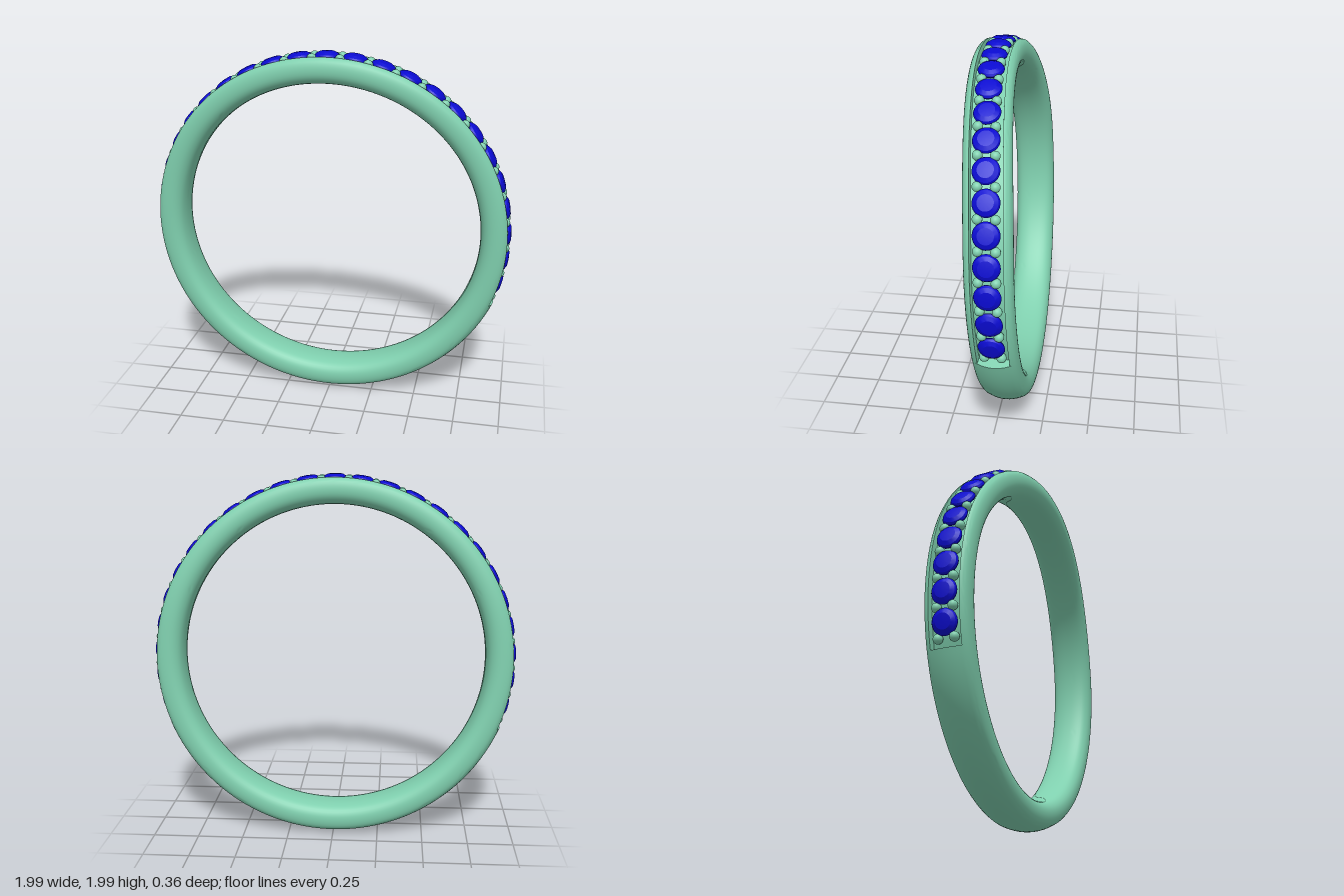
import * as THREE from 'three';
import { toCreasedNormals } from 'three/addons/utils/BufferGeometryUtils.js';

const CY = 1.003;            // height of the ring's centre
const STEP = 0.1534;         // angle between neighbouring stones
const GEMS_PER_SIDE = 12;
const GROOVE_END = 1.965;    // angle from the top where the channel stops

// Sideways offset of the band: a slight lean plus a forward bow near the top
function bend(t) {
  const y = CY + 0.99 * Math.cos(t);
  return -0.067 + 0.035 * y + 0.06 * Math.pow(Math.max(0, y - 1.2) / 0.8, 2.2);
}

// Point at angle t from the top, radius r, offset a across the band
function place(t, r, a) {
  return new THREE.Vector3(r * Math.sin(t), CY + r * Math.cos(t), bend(t) + a);
}

// Cross-section as [across, radius], with a domed crown or a cut channel
function bandProfile(grooved) {
  const half = [[0.09, 0.975], [0.108, 0.957], [0.118, 0.92], [0.113, 0.88], [0.09, 0.85], [0.05, 0.835]];
  const mirrored = half.map(([a, r]) => [-a, r]).reverse();
  const curve = new THREE.CatmullRomCurve3(
    [...half, [0, 0.831], ...mirrored].map(([a, r]) => new THREE.Vector3(a, r, 0)));
  const body = curve.getPoints(36).map((p) => [p.x, p.y]);
  const crown = [-0.08, -0.076, -0.057, -0.038, -0.019, 0, 0.019, 0.038, 0.057, 0.076, 0.08].map((a) => {
    const dome = 0.975 + 0.023 * (1 - (a / 0.09) ** 2);
    return [a, grooved ? (Math.abs(a) > 0.078 ? 0.977 : 0.942) : dome];
  });
  return [...body, ...crown];
}

// Sweep the section round the ring, stepping between plain and channelled
function bandGeometry() {
  const rows = [];
  const addArc = (profile, t0, t1, n) => {
    for (let i = 0; i <= n; i++) {
      const t = t0 + (t1 - t0) * i / n;
      rows.push(profile.map(([a, r]) => place(t, r, a)));
    }
  };
  addArc(bandProfile(true), -GROOVE_END, GROOVE_END, 120);
  addArc(bandProfile(false), GROOVE_END, 2 * Math.PI - GROOVE_END, 72);
  const n = rows[0].length;
  const index = [];
  for (let i = 0; i < rows.length; i++) {
    const next = (i + 1) % rows.length;
    for (let j = 0; j < n; j++) {
      const k = (j + 1) % n;
      const p = i * n + j, u = i * n + k, v = next * n + j, w = next * n + k;
      index.push(p, u, v, u, w, v);
    }
  }
  const geo = new THREE.BufferGeometry().setFromPoints(rows.flat());
  geo.setIndex(index);
  return toCreasedNormals(geo, 0.6);
}

export function createModel() {
  const ring = new THREE.Group();
  ring.name = 'ring';
  const metal = new THREE.MeshStandardMaterial({ color: 0x7fcfae });
  const blue = new THREE.MeshStandardMaterial({ color: 0x0a0ad0 });

  const add = (name, geo, mat, t, r, a) => {
    const mesh = new THREE.Mesh(geo, mat);
    mesh.name = name;
    mesh.position.copy(place(t, r, a));
    mesh.rotation.z = -t;
    ring.add(mesh);
  };

  const band = new THREE.Mesh(bandGeometry(), metal);
  band.name = 'band';
  ring.add(band);

  // Round-cut stones: pavilion, girdle, crown and table
  const gemProfile = [[0, -0.03], [0.064, -0.008], [0.067, 0], [0.06, 0.012], [0.04, 0.023], [0, 0.026]]
    .map(([x, y]) => new THREE.Vector2(x, y));
  const gem = toCreasedNormals(new THREE.LatheGeometry(gemProfile, 24), 0.35);
  for (let k = -GEMS_PER_SIDE; k <= GEMS_PER_SIDE; k++) {
    add('gem', gem, blue, k * STEP, 0.97, 0);
  }

  // Pairs of setting beads in the gaps between stones and at both ends
  const bead = new THREE.SphereGeometry(0.025, 16, 12);
  for (let k = -GEMS_PER_SIDE - 0.5; k <= GEMS_PER_SIDE + 0.5; k++) {
    for (const side of [-1, 1]) add('settingBead', bead, metal, k * STEP, 0.965, side * 0.042);
  }
  return ring;
}
